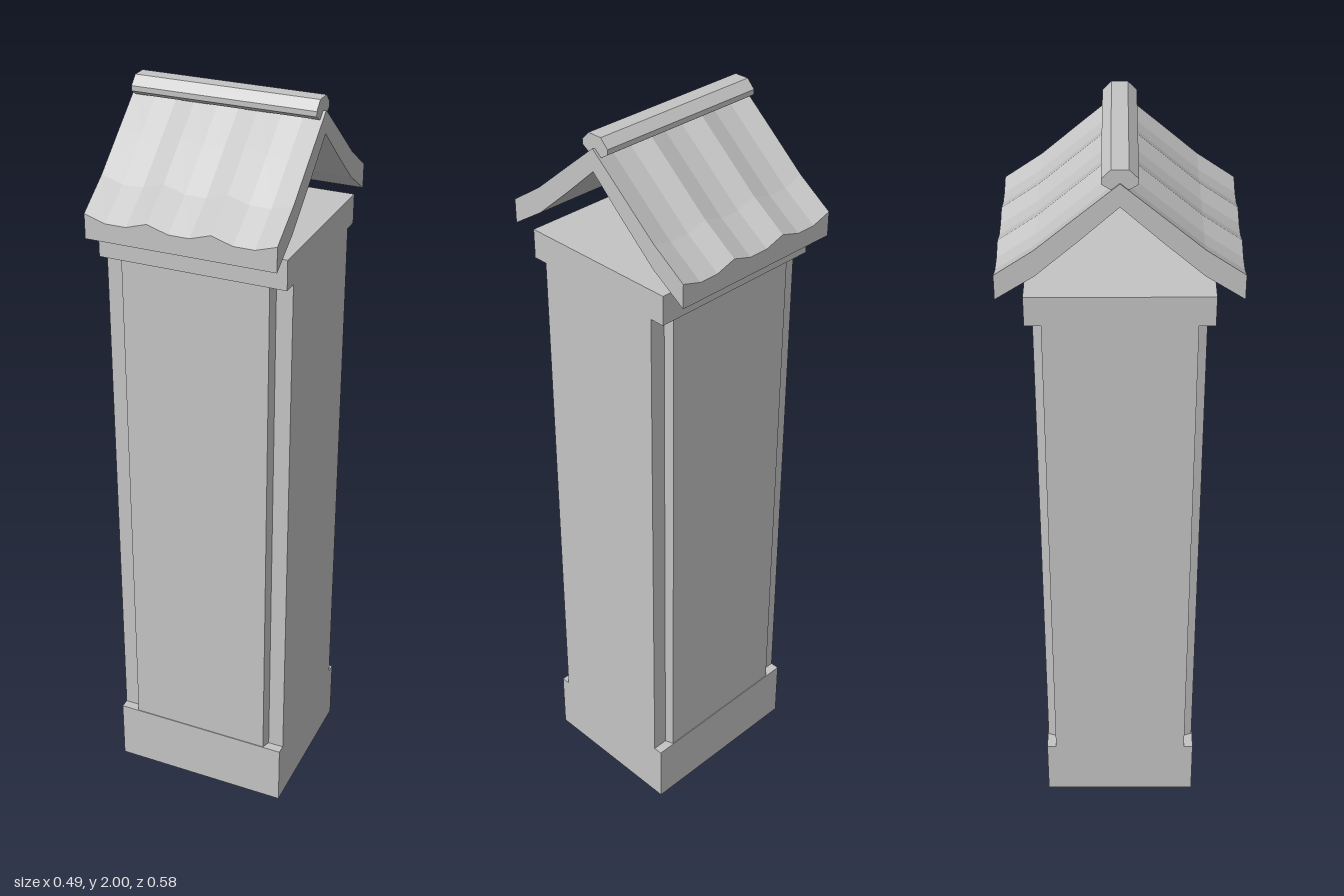
import * as THREE from 'three';

export function createModel() {
  const group = new THREE.Group();
  const stone = new THREE.MeshStandardMaterial({ color: 0xc4c4c4, flatShading: true });
  stone.name = 'light grey stone';
  const W = 0.247;

  const add = (name, geometry) => {
    const mesh = new THREE.Mesh(geometry, stone);
    mesh.name = name;
    group.add(mesh);
    return mesh;
  };
  const block = (name, y0, y1, depth) =>
    add(name, new THREE.BoxGeometry(2 * W, y1 - y0, depth)).position.y = (y0 + y1) / 2;

  // Plinth and cap slab
  block('base', 0, 0.175, 0.42);
  block('cap', 1.604, 1.682, 0.45);

  // Shaft: flush sides, raised panel with sloped edges on front and back
  const half = [[W, -0.185], [W, 0.185], [0.204, 0.185], [0.196, 0.208]];
  const outline = [...half, ...half.map(([x, z]) => [-x, -z]),]
    .map(([x, z]) => new THREE.Vector2(x, z));
  // complete each panel with its mirrored edge
  const mirrored = (s) => [new THREE.Vector2(-0.196 * s, 0.208 * s), new THREE.Vector2(-0.204 * s, 0.185 * s)];
  const shaftShape = new THREE.Shape([
    ...outline.slice(0, 4), ...mirrored(1), new THREE.Vector2(-W, 0.185),
    ...outline.slice(4).filter((p) => p.y < 0), ...mirrored(-1),
  ]);
  const shaft = new THREE.ExtrudeGeometry(shaftShape, { depth: 1.604 - 0.175, bevelEnabled: false });
  shaft.rotateX(-Math.PI / 2);
  add('shaft', shaft).position.y = 0.175;

  // Roof: curved gable section swept along x, with three tile waves on top
  add('roof', roofGeometry(W));

  // Ridge roll
  const ridge = [[0.02, 2], [0.042, 1.978], [0.042, 1.965], [0.022, 1.952]];
  const ridgeShape = new THREE.Shape([
    ...ridge.map(([z, y]) => new THREE.Vector2(z, y)),
    ...ridge.slice().reverse().map(([z, y]) => new THREE.Vector2(-z, y)),
  ]);
  const roll = new THREE.ExtrudeGeometry(ridgeShape, { depth: 0.478, bevelEnabled: false });
  roll.translate(0, 0, -0.239).rotateY(Math.PI / 2);
  add('ridge', roll);

  return group;
}

function roofGeometry(W) {
  // z, top height, underside height, from ridge to eave
  const section = [[0, 1.97, 1.913], [0.095, 1.89, 1.826], [0.195, 1.805, 1.738], [0.29, 1.74, 1.676]];
  const slope = [...section.slice(1).reverse().map(([z, t, b]) => [-z, t, b]), ...section];
  const n = slope.length, columns = 9;
  const positions = [];
  const quad = (a, b, c, d) => positions.push(...a, ...b, ...c, ...a, ...c, ...d);
  const x = (i) => -W + (2 * W * i) / columns;
  const drop = (i) => (i % 3 === 0 ? 0 : 0.017);
  const top = (i, j) => [x(i), slope[j][1] - drop(i), slope[j][0]];
  const under = (i, j) => [x(i), slope[j][2], slope[j][0]];

  for (let i = 0; i < columns; i++) {
    for (let j = 0; j < n - 1; j++) {
      quad(top(i, j), top(i, j + 1), top(i + 1, j + 1), top(i + 1, j));
      quad(under(i, j), under(i + 1, j), under(i + 1, j + 1), under(i, j + 1));
    }
    // eave edges
    quad(under(i, n - 1), under(i + 1, n - 1), top(i + 1, n - 1), top(i, n - 1));
    quad(under(i + 1, 0), under(i, 0), top(i, 0), top(i + 1, 0));
  }
  // gable ends
  for (let j = 0; j < n - 1; j++) {
    quad(under(0, j), under(0, j + 1), top(0, j + 1), top(0, j));
    quad(under(columns, j + 1), under(columns, j), top(columns, j), top(columns, j + 1));
  }
  const geometry = new THREE.BufferGeometry();
  geometry.setAttribute('position', new THREE.Float32BufferAttribute(positions, 3));
  geometry.computeVertexNormals();
  return geometry;
}
